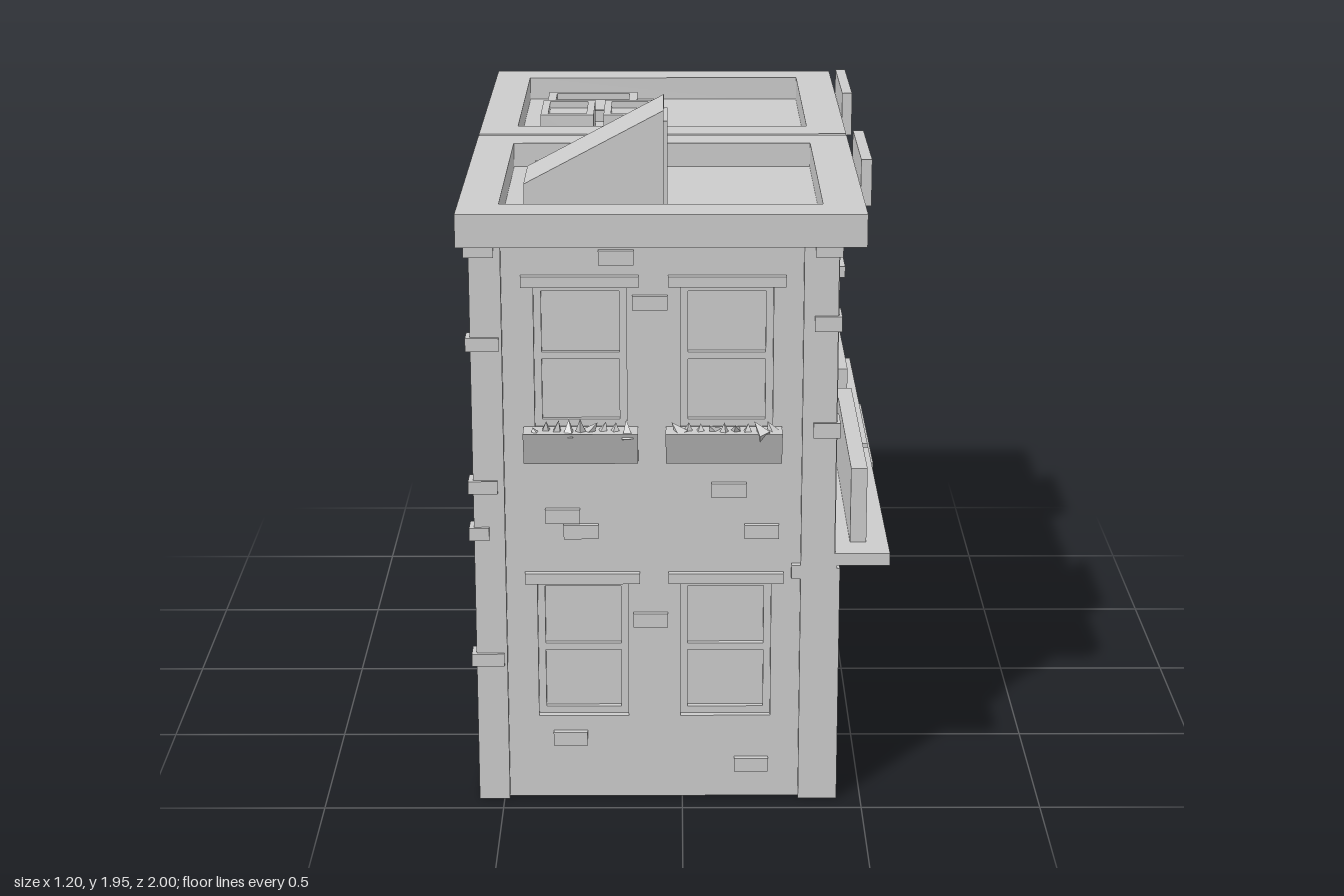
import * as THREE from 'three';

const mat = new THREE.MeshStandardMaterial({ color: 0xcccccc, flatShading: true, side: THREE.DoubleSide });

function add(parent, name, geometry) {
  const mesh = new THREE.Mesh(geometry, mat);
  mesh.name = name;
  parent.add(mesh);
  return mesh;
}

// A drawing plane: u across, v up, w outward; mu and mv flip u or v for the mirrored house.
function plane(parent, name, mu = 1, mv = 1) {
  const g = new THREE.Group();
  g.name = name;
  g.userData = { mu, mv };
  parent.add(g);
  return g;
}

// Rectangle [u0, u1, v0, v1] with flips applied and limits sorted
function limits(g, [u0, u1, v0, v1]) {
  const { mu, mv } = g.userData;
  return [Math.min(u0 * mu, u1 * mu), Math.max(u0 * mu, u1 * mu), Math.min(v0 * mv, v1 * mv), Math.max(v0 * mv, v1 * mv)];
}

function box(g, name, rect, w0, w1) {
  const [a, b, c, d] = limits(g, rect);
  const mesh = add(g, name, new THREE.BoxGeometry(b - a, d - c, w1 - w0));
  mesh.position.set((a + b) / 2, (c + d) / 2, (w0 + w1) / 2);
}

// Slab with rectangular holes
function slab(g, name, rect, w0, w1, holes) {
  const trace = (path, r) => {
    const [a, b, c, d] = limits(g, r);
    path.moveTo(a, c); path.lineTo(b, c); path.lineTo(b, d); path.lineTo(a, d); path.closePath();
    return path;
  };
  const shape = trace(new THREE.Shape(), rect);
  shape.holes = holes.map(h => trace(new THREE.Path(), h));
  const geo = new THREE.ExtrudeGeometry(shape, { depth: w1 - w0, bevelEnabled: false });
  add(g, name, geo.translate(0, 0, w0));
}

// Profile of (w, v) points run along u
function prism(g, name, u0, u1, points) {
  const [a, b] = limits(g, [u0, u1, 0, 1]);
  const shape = new THREE.Shape(points.map(p => new THREE.Vector2(...p)));
  const geo = new THREE.ExtrudeGeometry(shape, { depth: b - a, bevelEnabled: false });
  add(g, name, geo.rotateY(-Math.PI / 2).translate(b, 0, 0));
}

const inset = ([a, b, c, d], t) => [a + t, b - t, c + t, d - t];

// Framed panel with a sunken field
function panel(g, name, rect, w, t = 0.015, sink = 0.012) {
  slab(g, name + 'Frame', rect, w - sink - 0.01, w, [inset(rect, t)]);
  box(g, name + 'Field', inset(rect, t - 0.002), w - sink - 0.01, w - sink);
}

// Sash window set back in its opening, with a lintel above
function windowUnit(g, rect, columns, lintelOver) {
  const [a, b, c, d] = rect, t = 0.02;
  const panes = [], cw = (b - a - t) / columns, rh = (d - c - t) / 2;
  for (let i = 0; i < columns; i++) {
    for (let j = 0; j < 2; j++) {
      panes.push([a + t + i * cw, a + (i + 1) * cw, c + t + j * rh, c + (j + 1) * rh]);
    }
  }
  slab(g, 'windowSash', rect, -0.045, -0.02, panes);
  box(g, 'windowGlass', rect, -0.048, -0.035);
  box(g, 'lintel', [a - lintelOver, b + lintelOver, d, d + 0.03], -0.01, 0.02);
}

let seed = 7;
const rand = () => (seed = (seed * 16807) % 2147483647) / 2147483647;

// Sloping box with spiky plants
function planter(g, u0, u1) {
  prism(g, 'windowBox', u0, u1, [[0, 1], [0.035, 1], [0.072, 1.095], [0, 1.095]]);
  for (let i = 0; i < 9; i++) {
    const h = 0.03 + 0.035 * rand();
    const leaf = add(g, 'plant', new THREE.ConeGeometry(0.022, h, 4));
    leaf.position.set(g.userData.mu * (u0 + 0.03 + (i / 8) * (u1 - u0 - 0.06)), 1.085 + h * 0.3, 0.025 + 0.025 * rand());
    leaf.rotation.set(rand() - 0.5, rand() * 3, rand() * 1.6 - 0.8);
  }
}

// End facade with two floors of windows
function endFacade(house, s) {
  const g = plane(house, 'endFacade', s);
  g.position.z = s * 0.92;
  if (s < 0) g.rotation.y = Math.PI;
  const wins = [];
  for (const u of [-0.4, -0.005]) for (const v of [0.245, 1.09]) wins.push([u, u + 0.25, v, v + 0.4]);
  slab(g, 'endWall', [-0.57, 0.415, 0, 1.62], -0.05, 0, wins);
  wins.forEach(r => windowUnit(g, r, 1, 0.033));
  box(g, 'cornerPier', [-0.57, -0.485, 0, 1.62], -0.02, 0.02);
  box(g, 'cornerPier', [0.325, 0.418, 0, 1.62], -0.02, 0.02);
  planter(g, -0.43, -0.12);
  planter(g, -0.045, 0.27);
  const bricks = [[-0.225, 1.55], [-0.135, 1.425], [-0.375, 0.82], [-0.325, 0.775], [0.08, 0.895],
    [0.17, 0.775], [-0.135, 0.515], [-0.36, 0.16], [0.145, 0.08]];
  bricks.forEach(([u, v]) => box(g, 'brick', [u, u + 0.095, v, v + 0.04], -0.01, 0.015));
  // Corner stones wrapping the piers
  [[1.575, 0.08], [1.315, 0.09], [0.91, 0.08], [0.775, 0.055], [0.405, 0.09]].forEach(([v, l]) =>
    box(g, 'cornerStone', [-0.583, -0.583 + l, v, v + 0.037], -0.03, 0.03));
  [1.575, 1.37, 1.07].forEach(v => box(g, 'cornerStone', [0.355, 0.428, v, v + 0.042], -0.06, 0.03));
}

// Street side: upper windows, fascia, ledge and shopfront
function streetSide(house, s) {
  const g = plane(house, 'streetSide', -s);
  g.position.x = 0.42;
  g.rotation.y = Math.PI / 2;
  const wins = [[0.165, 0.415, 1.09, 1.49], [0.56, 0.805, 1.09, 1.49]];
  slab(g, 'upperWall', [0.02, 0.935, 0.68, 1.62], -0.05, 0, wins);
  wins.forEach(r => windowUnit(g, r, 2, 0.03));
  box(g, 'fasciaBoard', [0.1, 0.85, 0.73, 0.95], 0.045, 0.09);
  box(g, 'ledge', [0.02, 0.94, 0.7, 0.735], -0.02, 0.15);
  box(g, 'shopHeader', [0.02, 0.94, 0.66, 0.7], -0.12, 0.005);
  box(g, 'roofSign', [0.27, 0.655, 1.645, 1.775], 0.07, 0.1);
  if (s > 0) {
    box(g, 'brick', [0.44, 0.535, 1.42, 1.46], -0.01, 0.012);
    box(g, 'brick', [0.02, 0.11, 1.072, 1.112], -0.01, 0.012);
  } else {
    box(g, 'brick', [0.01, 0.105, 1.305, 1.35], -0.01, 0.012);
  }
  // Panelled pier at the outer corner
  panel(g, 'pierUpper', [0.8, 0.94, 0.2, 0.69], 0.013);
  panel(g, 'pierLower', [0.8, 0.94, 0, 0.2], 0.013);
  box(g, 'pierCore', [0.8, 0.935, 0, 0.69], -0.05, -0.005);
  // Panelled pier by the neighbour
  panel(g, 'pierUpper', [0.02, 0.165, 0.2, 0.69], 0.013);
  box(g, 'pierCore', [0.02, 0.165, 0, 0.69], -0.05, -0.005);
  if (s > 0) doorShop(g); else awningShop(g);
}

// Shopfront with a set-back door and one display window
function doorShop(g) {
  panel(g, 'stallRiser', [0.02, 0.45, 0, 0.2], 0.013);
  box(g, 'sill', [0.165, 0.45, 0.18, 0.2], -0.07, 0);
  box(g, 'displayGlass', [0.165, 0.45, 0.2, 0.68], -0.07, -0.05);
  box(g, 'windowPost', [0.435, 0.455, 0, 0.68], -0.1, 0.005);
  box(g, 'entranceCheek', [0.8, 0.815, 0, 0.68], -0.1, 0);
  box(g, 'entranceWall', [0.45, 0.8, 0, 0.68], -0.11, -0.09);
  panel(g, 'door', [0.5, 0.745, 0.005, 0.66], -0.07, 0.038);
  box(g, 'doorHandle', [0.7, 0.712, 0.3, 0.36], -0.07, -0.055);
}

// Shopfront with two display windows under a sloping awning
function awningShop(g) {
  panel(g, 'pierLower', [0.02, 0.165, 0, 0.2], 0.013);
  for (const [a, b] of [[0.165, 0.61], [0.61, 0.77]]) {
    panel(g, 'stallRiser', [a, b, 0, 0.2], -0.025);
    panel(g, 'displayWindow', [a, b, 0.2, 0.68], -0.025, 0.018, 0.02);
  }
  box(g, 'endPost', [0.77, 0.8, 0, 0.68], -0.05, -0.02);
  prism(g, 'awning', 0.17, 0.787, [[0, 0.565], [0.18, 0.565], [0.18, 0.62], [0.012, 0.68], [0, 0.68]]);
}

// Parapet, sunken roof deck and roof fittings
function roof(house, s) {
  const g = plane(house, 'roof', 1, -s);
  g.rotation.x = -Math.PI / 2;
  slab(g, 'cornice', [-0.6, 0.488, 0.01, 0.998], 1.615, 1.705, [[-0.49, 0.375, 0.12, 0.88]]);
  box(g, 'roofDeck', [-0.55, 0.4, 0.04, 0.91], 1.62, 1.635);
  const light = (rect, top, t) => {
    slab(g, 'skylightFrame', rect, 1.63, top, [inset(rect, t)]);
    box(g, 'skylightGlass', inset(rect, t - 0.002), 1.63, top - 0.02);
  };
  if (s > 0) {
    light([-0.425, -0.14, 0.195, 0.49], 1.67, 0.026);
    // Stair hut with a sloping roof
    const hut = new THREE.Shape([[-0.425, 1.63], [-0.05, 1.63], [-0.05, 1.95], [-0.425, 1.75]].map(p => new THREE.Vector2(...p)));
    add(house, 'stairHut', new THREE.ExtrudeGeometry(hut, { depth: 0.22, bevelEnabled: false }).translate(0, 0, 0.62));
    const d = plane(house, 'stairHutDoor', -1);
    d.position.x = -0.05;
    d.rotation.y = Math.PI / 2;
    slab(d, 'doorFrame', [0.632, 0.812, 1.63, 1.915], -0.01, 0.01, [[0.652, 0.792, 1.64, 1.895]]);
  } else {
    light([-0.425, -0.14, 0.52, 0.82], 1.67, 0.026);
    light([-0.425, -0.265, 0.18, 0.405], 1.727, 0.022);
    light([-0.235, -0.08, 0.18, 0.405], 1.727, 0.022);
  }
}

export function createModel() {
  const model = new THREE.Group();
  model.name = 'cornerShops';
  for (const s of [1, -1]) {
    const house = new THREE.Group();
    house.name = s > 0 ? 'frontHouse' : 'backHouse';
    model.add(house);
    endFacade(house, s);
    streetSide(house, s);
    roof(house, s);
    // Plain walls, open underneath
    const party = plane(house, 'partyWall');
    box(party, 'partyWall', [-0.57, 0.415, 0, 1.62], Math.min(s * 0.02, s * 0.04), Math.max(s * 0.02, s * 0.04));
    const rear = plane(house, 'blankWall', -s);
    rear.rotation.y = Math.PI / 2;
    box(rear, 'blankWall', [0.02, 0.935, 0, 1.62], -0.57, -0.55);
  }
  return model;
}
